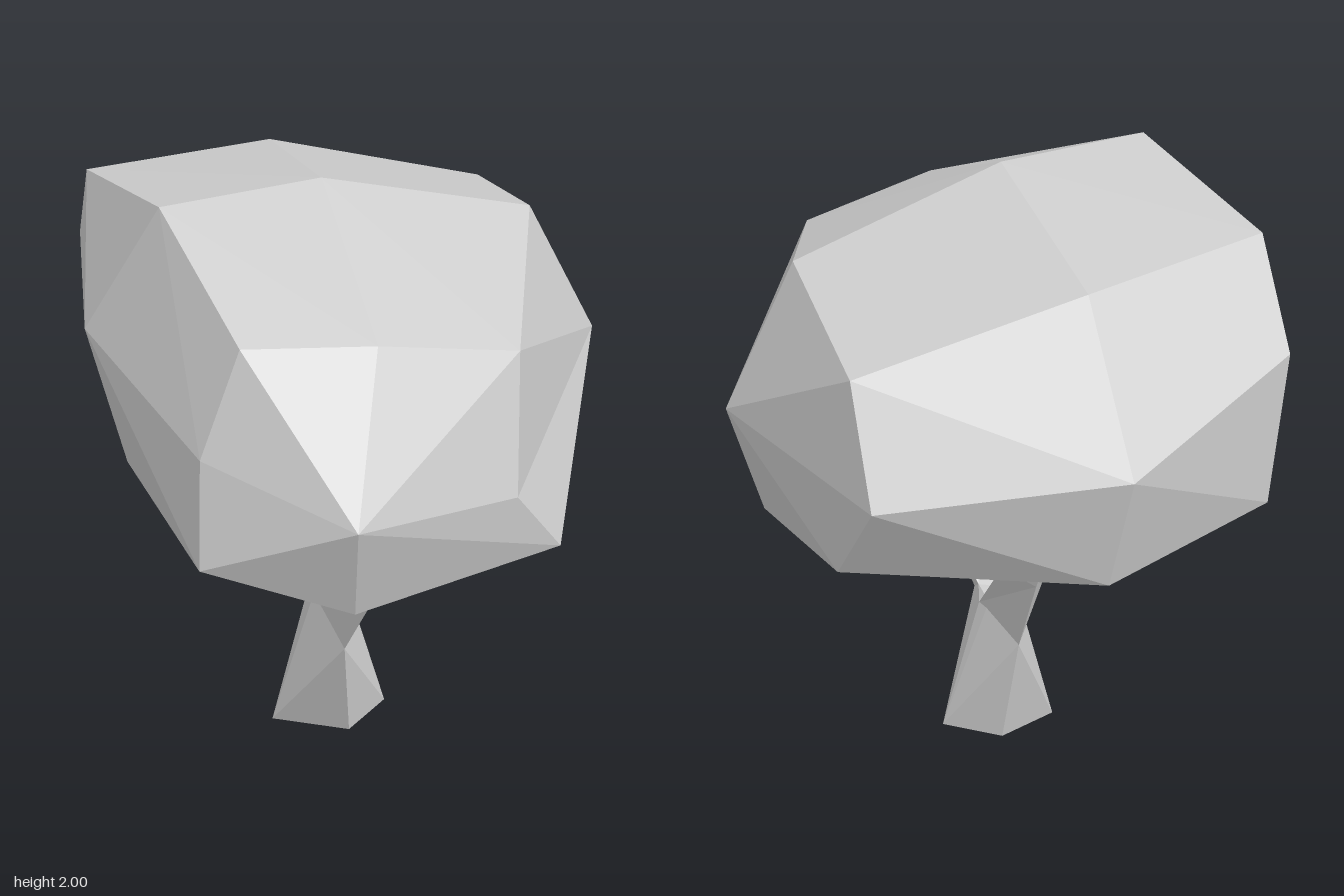
import * as THREE from 'three';
import { ConvexGeometry } from 'three/addons/geometries/ConvexGeometry.js';

const V = (a) => new THREE.Vector3(...a);

// Geometry from a list of triangles (three points each)
function fromTriangles(tris) {
  const g = new THREE.BufferGeometry().setFromPoints(tris.flat());
  g.computeVertexNormals();
  return g;
}

// Closed tube through rings ordered front, right, back, left
function loft(rings) {
  const r = rings.map((ring) => ring.map(V));
  const tris = [];
  for (let k = 0; k < r.length - 1; k++) {
    for (let i = 0; i < 4; i++) {
      const j = (i + 1) % 4, a = r[k], b = r[k + 1];
      tris.push([a[i], a[j], b[j]], [a[i], b[j], b[i]]);
    }
  }
  const t = r[r.length - 1];
  tris.push([t[0], t[1], t[2]], [t[0], t[2], t[3]]);
  return fromTriangles(tris);
}

// Faceted boulder shape: the outside of a 3 x 3 x 3 lattice of points
function latticeShell(layers) {
  const centre = new THREE.Vector3(0, 1.4, 0);
  const at = (c) => V(layers[c[2]][c[1]][c[0]]);
  const tris = [];
  const add = (a, b, c) => {
    const n = b.clone().sub(a).cross(c.clone().sub(a));
    tris.push(n.dot(a.clone().sub(centre)) > 0 ? [a, b, c] : [a, c, b]);
  };
  for (let axis = 0; axis < 3; axis++) for (const side of [0, 2]) {
    for (let u = 0; u < 2; u++) for (let v = 0; v < 2; v++) {
      const [a, b, c, d] = [[0, 0], [1, 0], [1, 1], [0, 1]].map(([du, dv]) => {
        const i = [0, 0, 0];
        i[axis] = side;
        i[(axis + 1) % 3] = u + du;
        i[(axis + 2) % 3] = v + dv;
        return at(i);
      });
      // fold each quad along the diagonal that bulges outwards
      const n = c.clone().sub(a).cross(d.clone().sub(b));
      const out = a.clone().add(c).sub(centre).sub(centre);
      if (n.dot(out) < 0) n.negate();
      if (n.dot(a.clone().add(c)) > n.dot(b.clone().add(d))) {
        add(a, b, c); add(a, c, d);
      } else {
        add(a, b, d); add(b, c, d);
      }
    }
  }
  return fromTriangles(tris);
}

export function createModel() {
  const tree = new THREE.Group();
  tree.name = 'tree';
  const grey = new THREE.MeshStandardMaterial({ color: 0xcccccc, flatShading: true });
  grey.name = 'light grey';
  const add = (name, geometry) => {
    const mesh = new THREE.Mesh(geometry, grey);
    mesh.name = name;
    tree.add(mesh);
  };

  // Crown: front, middle and back layers, each with top, middle and bottom rows
  add('crown', latticeShell([
    [
      [[-0.49, 1.74, 0.67], [-0.09, 1.72, 0.70], [0.36, 1.63, 0.64]],
      [[-0.62, 1.415, 0.70], [-0.22, 1.27, 0.985], [0.32, 1.22, 0.785]],
      [[-0.64, 1.08, 0.75], [-0.20, 0.94, 0.87], [0.49, 0.99, 0.70]],
    ],
    [
      [[-0.62, 1.99, 0.15], [-0.10, 2.00, 0.05], [0.60, 1.81, -0.04]],
      [[-0.84, 1.56, 0.01], [0, 1.4, 0], [0.835, 1.36, -0.06]],
      [[-0.72, 1.07, -0.025], [0.07, 0.76, -0.22], [0.72, 0.97, -0.03]],
    ],
    [
      [[-0.74, 1.89, -0.49], [-0.10, 1.87, -0.68], [0.61, 1.695, -0.64]],
      [[-0.74, 1.59, -0.72], [-0.13, 1.40, -0.985], [0.61, 1.35, -0.82]],
      [[-0.69, 1.095, -0.73], [-0.10, 1.01, -0.89], [0.66, 1.065, -0.63]],
    ],
  ]));

  // Trunk: base ring, fork ring and the saddle between the branches
  add('trunk', new ConvexGeometry([
    [-0.02, 0.02, 0.08], [0.14, 0.03, -0.06], [-0.03, 0.02, -0.18], [-0.25, 0, -0.08],
    [-0.06, 0.40, 0.18], [0.01, 0.49, -0.06], [-0.06, 0.42, -0.25], [-0.13, 0.48, -0.06],
    [-0.01, 0.52, 0], [-0.12, 0.52, 0], [-0.01, 0.51, -0.10], [-0.11, 0.51, -0.10],
  ].map(V)));

  // Branches
  add('frontBranch', loft([
    [[-0.06, 0.40, 0.18], [-0.01, 0.52, 0], [-0.06, 0.51, -0.03], [-0.12, 0.52, 0]],
    [[-0.02, 0.65, 0.35], [0.07, 0.74, 0.18], [-0.04, 0.78, 0.19], [-0.12, 0.72, 0.30]],
    [[-0.01, 0.86, 0.35], [0.06, 0.84, 0.20], [-0.05, 0.84, 0.22], [-0.10, 0.84, 0.34]],
  ]));
  add('backBranch', loft([
    [[-0.06, 0.51, -0.08], [0.01, 0.49, -0.06], [-0.06, 0.42, -0.25], [-0.13, 0.48, -0.06]],
    [[-0.07, 0.78, -0.30], [0.02, 0.76, -0.30], [-0.06, 0.73, -0.40], [-0.14, 0.77, -0.32]],
    [[-0.08, 0.89, -0.37], [0.02, 0.87, -0.37], [-0.07, 0.87, -0.46], [-0.16, 0.87, -0.40]],
  ]));
  return tree;
}
